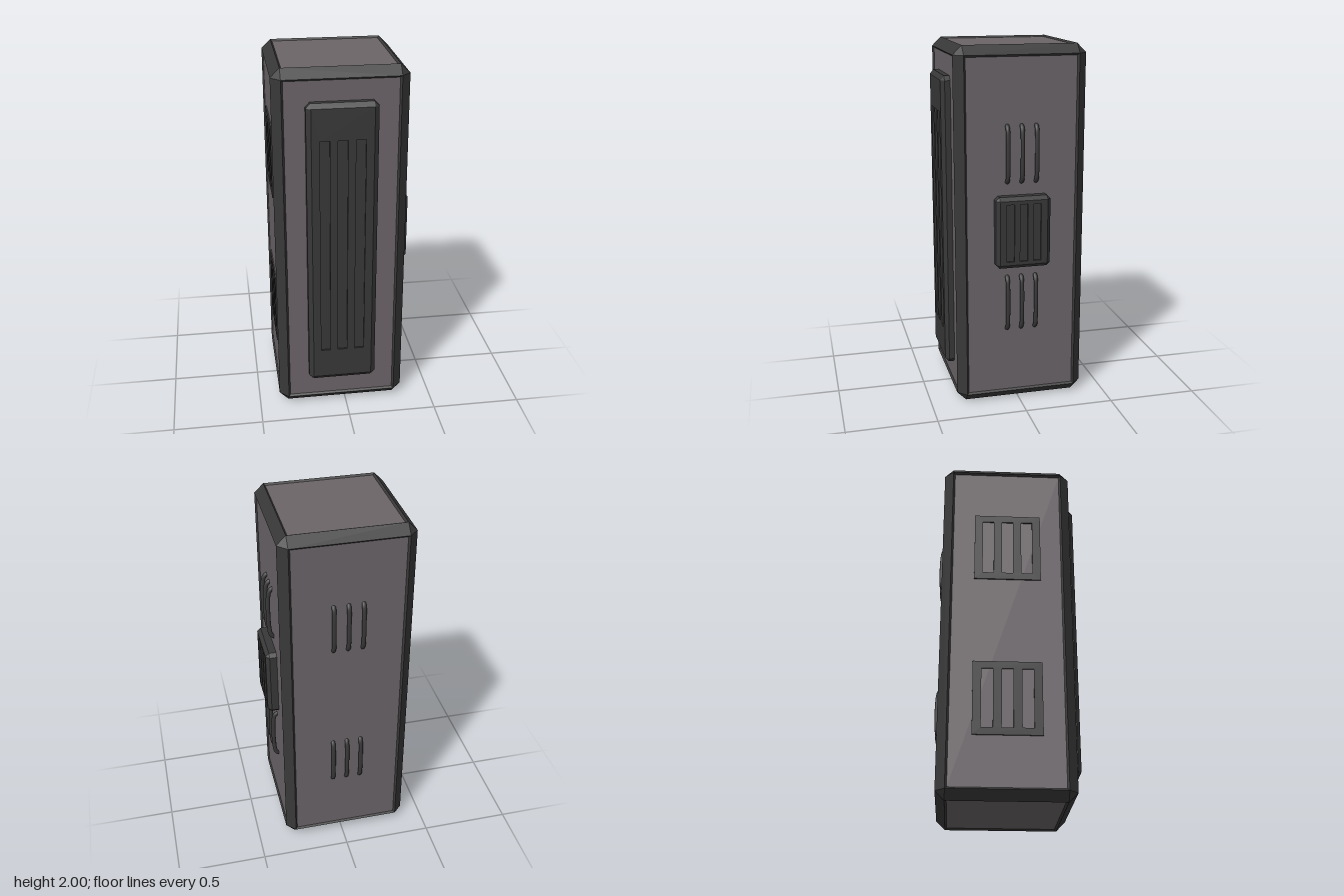
import * as THREE from 'three';
import { ConvexGeometry } from 'three/addons/geometries/ConvexGeometry.js';
import { mergeGeometries } from 'three/addons/utils/BufferGeometryUtils.js';

const dark = new THREE.MeshStandardMaterial({ color: 0x383838 });
const panelMat = new THREE.MeshStandardMaterial({ color: 0x6b6468 });
const SIGNS = [-1, 1];

function addMesh(parent, name, geometry, material, x = 0, y = 0, z = 0) {
  const mesh = new THREE.Mesh(geometry, material);
  mesh.name = name;
  mesh.position.set(x, y, z);
  parent.add(mesh);
  return mesh;
}

// Box with chamfered edges; h = half sizes, c = chamfer per axis
function chamferBox(h, c) {
  const pts = [];
  for (const sx of SIGNS) for (const sy of SIGNS) for (const sz of SIGNS)
    for (let a = 0; a < 3; a++) {
      const p = h.map((v, i) => (i === a ? v : v - c[i]));
      pts.push(new THREE.Vector3(sx * p[0], sy * p[1], sz * p[2]));
    }
  return new ConvexGeometry(pts);
}

// Edge beams and corner pieces standing proud of recessed panels by d
function frameGeometry(h, c, d) {
  const parts = [];
  for (let a = 0; a < 3; a++) {
    const b = (a + 1) % 3, e = (a + 2) % 3;
    for (const sb of SIGNS) for (const se of SIGNS) {
      const section = [[0, c, 0], [c, 0, 0], [c + d, d, d], [d, c + d, d]];
      const pts = [];
      for (const sa of SIGNS) for (const [ob, oe, inset] of section) {
        const p = [];
        p[a] = sa * (h[a] - c - inset);
        p[b] = sb * (h[b] - ob);
        p[e] = se * (h[e] - oe);
        pts.push(new THREE.Vector3(...p));
      }
      parts.push(new ConvexGeometry(pts));
    }
  }
  for (const sx of SIGNS) for (const sy of SIGNS) for (const sz of SIGNS) {
    const s = [sx, sy, sz];
    const pts = [0, 1, 2, 3].map(k =>
      new THREE.Vector3(...h.map((v, i) => s[i] * (v - (k === i ? 0 : c + (k === 3 ? 0.01 : 0))))));
    parts.push(new ConvexGeometry(pts));
  }
  return mergeGeometries(parts.map(g => { g.deleteAttribute('uv'); return g; }));
}

// Flat sheet facing +z with a row of upright slots cut through it
function slottedSheet(w, h, depth, slotW, slotH, pitch) {
  const rect = (T, x, rw, rh) => {
    const p = new T();
    p.moveTo(x - rw / 2, -rh / 2);
    p.lineTo(x + rw / 2, -rh / 2);
    p.lineTo(x + rw / 2, rh / 2);
    p.lineTo(x - rw / 2, rh / 2);
    p.closePath();
    return p;
  };
  const shape = rect(THREE.Shape, 0, w, h);
  for (const i of [-1, 0, 1]) shape.holes.push(rect(THREE.Path, i * pitch, slotW, slotH));
  return new THREE.ExtrudeGeometry(shape, { depth, bevelEnabled: false });
}

// Chamfered plate whose front has three shallow slots
function slottedPlate(name, h, c, slotW, slotH, pitch) {
  const group = new THREE.Group();
  group.name = name;
  const groove = 0.01;
  const shell = chamferBox(h, c);
  const pos = shell.attributes.position, nor = shell.attributes.normal;
  const kept = [];
  for (let i = 0; i < pos.count; i += 3) // leave the front face open
    if (nor.getZ(i) < 0.99)
      for (let k = i; k < i + 3; k++) kept.push(pos.getX(k), pos.getY(k), pos.getZ(k));
  const open = new THREE.BufferGeometry();
  open.setAttribute('position', new THREE.Float32BufferAttribute(kept, 3));
  open.computeVertexNormals();
  addMesh(group, name + 'Body', open, dark);
  const w = 2 * (h[0] - c[0]), t = 2 * (h[1] - c[1]);
  addMesh(group, name + 'Face', slottedSheet(w, t, groove, slotW, slotH, pitch), dark, 0, 0, h[2] - groove);
  addMesh(group, name + 'SlotFloor', new THREE.PlaneGeometry(w, t), dark, 0, 0, h[2] - groove);
  return group;
}

// Three rounded ribs bowed out of a wall that faces +z
function ribSet(name, height) {
  const group = new THREE.Group();
  group.name = name;
  const r = 0.012, e = height / 2 - r;
  const path = new THREE.CatmullRomCurve3([
    [-e, -0.04], [-e + 0.004, -0.012], [-e + 0.02, 0.004], [-e + 0.06, 0.012],
    [e - 0.06, 0.012], [e - 0.02, 0.004], [e - 0.004, -0.012], [e, -0.04],
  ].map(([y, z]) => new THREE.Vector3(0, y, z)));
  const tube = new THREE.TubeGeometry(path, 40, r, 12);
  for (const i of [-1, 0, 1]) addMesh(group, 'rib', tube, dark, i * 0.08, 0, 0);
  return group;
}

export function createModel() {
  const model = new THREE.Group();
  model.name = 'case';
  const place = (obj, x, y, z, turn = 0) => {
    obj.position.set(x, y, z);
    obj.rotation.y = turn;
    model.add(obj);
  };

  // Case: recessed panels inside a chamfered frame
  const half = [0.36, 1, 0.3625], c = 0.05, d = 0.01;
  addMesh(model, 'panels', chamferBox(half.map(v => v - d), [c, c, c]), panelMat, -0.025, 1, -0.0125);
  addMesh(model, 'frame', frameGeometry(half, c, d), dark, -0.025, 1, -0.0125);

  // Tall front plate
  place(slottedPlate('frontPlate', [0.19, 0.825, 0.045], [0.025, 0.025, 0.02], 0.053, 1.255, 0.095),
    -0.025, 1.005, 0.345);

  // Left side: square plate between two sets of ribs
  place(slottedPlate('sidePlate', [0.152, 0.2, 0.05], [0.02, 0.02, 0.02], 0.043, 0.32, 0.074),
    0.335, 1, -0.012, Math.PI / 2);
  for (const y of [0.585, 1.425]) place(ribSet('sideRibs', 0.335), 0.336, y, -0.012, Math.PI / 2);

  // Back: two sets of ribs
  for (const y of [0.55, 1.45]) place(ribSet('backRibs', 0.31), -0.025, y, -0.368, Math.PI);

  // Right side: two flush grilles
  for (const y of [0.54, 1.45]) {
    const grille = new THREE.Group();
    grille.name = 'grille';
    addMesh(grille, 'grilleSheet', slottedSheet(0.37, 0.41, 0.008, 0.062, 0.33, 0.108), dark);
    place(grille, -0.375, y, -0.01, -Math.PI / 2);
  }
  return model;
}
